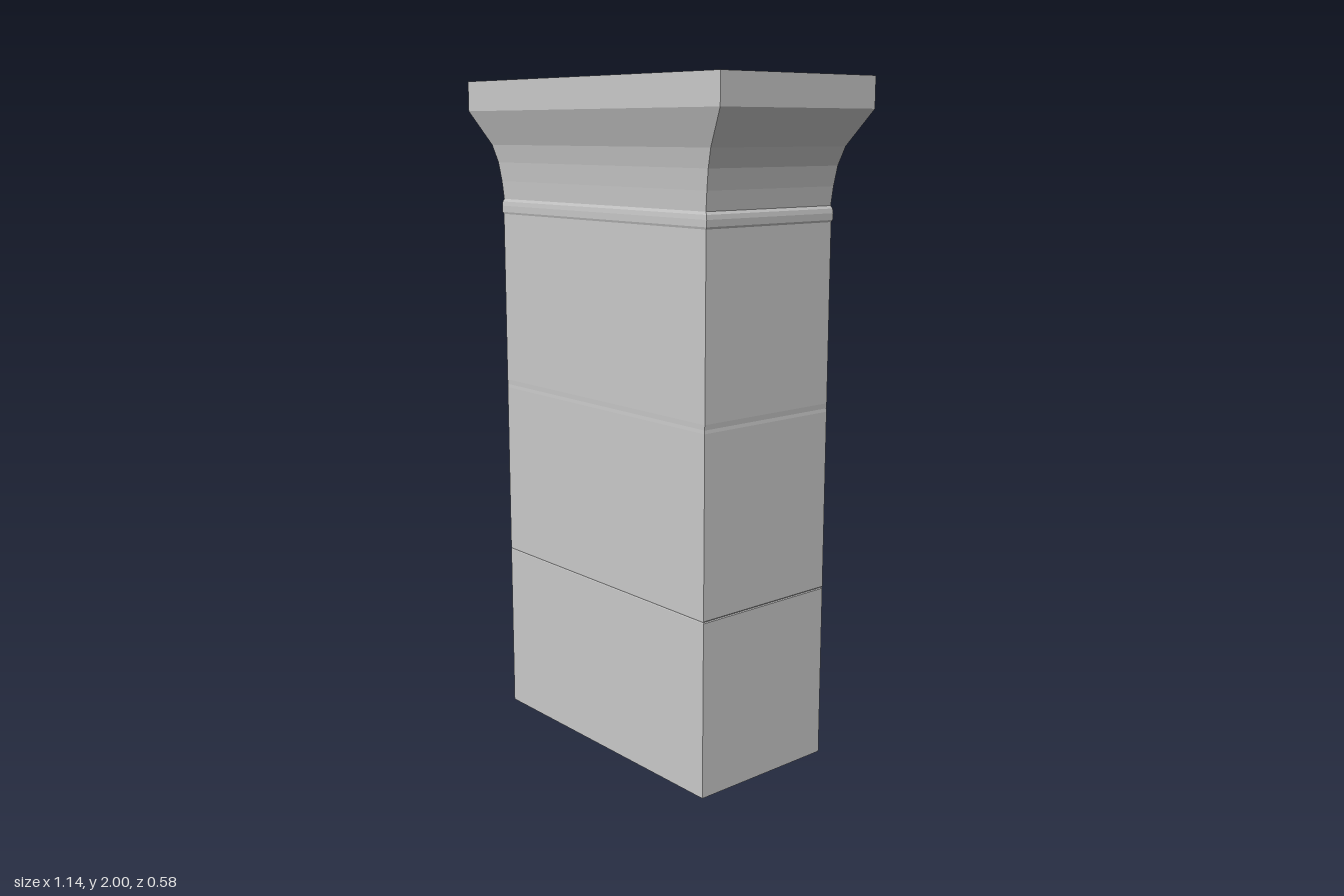
import * as THREE from 'three';

const HALF_X = 0.465, HALF_Z = 0.238;
const material = new THREE.MeshStandardMaterial({
  color: 0xcccccc, flatShading: true, side: THREE.DoubleSide,
});

// Rectangular shell: each row is [height, outward offset]; the long axis flares twice as far as depth.
function rectShell(name, rows, closeTop = false) {
  const rings = rows.map(([y, out]) => {
    const x = HALF_X + out, z = HALF_Z + out * 0.486;
    return [[-x, y, z], [x, y, z], [x, y, -z], [-x, y, -z]];
  });
  const pos = [];
  const quad = (a, b, c, d) => pos.push(...a, ...b, ...c, ...a, ...c, ...d);
  for (let i = 0; i < rings.length - 1; i++) {
    for (let s = 0; s < 4; s++) {
      const n = (s + 1) % 4;
      quad(rings[i][s], rings[i][n], rings[i + 1][n], rings[i + 1][s]);
    }
  }
  if (closeTop) quad(...rings[rings.length - 1]);
  const geometry = new THREE.BufferGeometry();
  geometry.setAttribute('position', new THREE.Float32BufferAttribute(pos, 3));
  geometry.computeVertexNormals();
  const mesh = new THREE.Mesh(geometry, material);
  mesh.name = name;
  return mesh;
}

export function createModel() {
  const group = new THREE.Group();
  group.name = 'rectangularPillar';
  group.add(
    // Hollow lower block, open underneath
    rectShell('lowerBlock', [[0, 0], [0.52, 0], [0.523, -0.002]]),
    // Shaft with a very shallow joint halfway up
    rectShell('shaft', [[0.523, -0.002], [0.526, 0], [1.055, 0], [1.065, -0.001], [1.08, 0], [1.6, 0]]),
    // Thin bead at the neck
    rectShell('neckBead', [[1.6, 0], [1.606, 0.004], [1.625, 0.005], [1.638, 0.003], [1.646, -0.002]]),
    // Flared cove under the cap
    rectShell('cove', [[1.646, -0.002], [1.70, 0.004], [1.757, 0.014], [1.81, 0.033], [1.911, 0.105]]),
    // Flat cap slab
    rectShell('capSlab', [[1.911, 0.105], [2, 0.105]], true),
  );
  return group;
}
